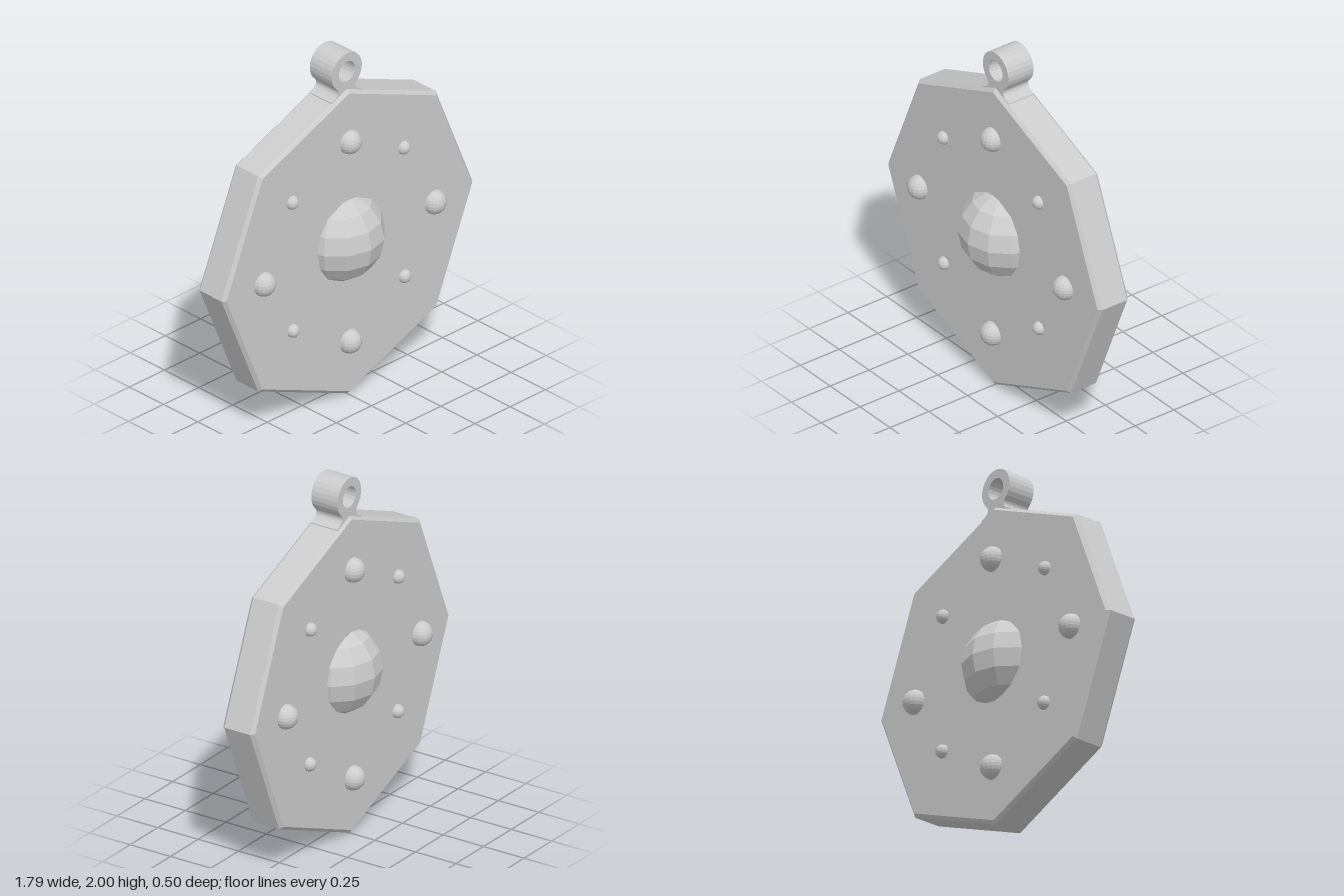
import * as THREE from 'three';

export function createModel() {
  const model = new THREE.Group();
  model.name = 'pendant';
  const mat = new THREE.MeshStandardMaterial({ color: 0xcccccc, flatShading: true });
  const cy = 0.897;

  function add(name, geometry, x, y, z) {
    const mesh = new THREE.Mesh(geometry, mat);
    mesh.name = name;
    mesh.position.set(x, y, z);
    model.add(mesh);
    return mesh;
  }

  // Eight-sided plate with chamfered rims, one corner pointing up
  const plate = new THREE.Shape();
  for (let i = 0; i < 8; i++) {
    const a = (i / 8) * Math.PI * 2;
    const x = 0.893 * Math.cos(a), y = 0.893 * Math.sin(a);
    if (i === 0) plate.moveTo(x, y);
    else plate.lineTo(x, y);
  }
  plate.closePath();
  const bevel = 0.018;
  add('plate', new THREE.ExtrudeGeometry(plate, {
    depth: 0.195 - 2 * bevel, bevelEnabled: true, bevelSegments: 1,
    bevelSize: bevel, bevelOffset: -bevel, bevelThickness: bevel,
  }), 0, cy, -0.107 + bevel);

  // Hanging loop with a flared neck that sinks into the plate
  const ringY = 1.893, ringR = 0.107, neck = 0.9;
  const nx = ringR * Math.cos(neck), ny = ringY - ringR * Math.sin(neck);
  const loop = new THREE.Shape();
  loop.moveTo(-0.11, 1.7);
  loop.lineTo(-0.11, 1.75);
  loop.quadraticCurveTo(-0.045, 1.772, -nx, ny);
  loop.absarc(0, ringY, ringR, Math.PI + neck, -neck, true);
  loop.quadraticCurveTo(0.045, 1.772, 0.11, 1.75);
  loop.lineTo(0.11, 1.7);
  loop.closePath();
  const hole = new THREE.Path();
  hole.absarc(0, ringY, 0.058, 0, Math.PI * 2, false);
  loop.holes.push(hole);
  add('hangingLoop', new THREE.ExtrudeGeometry(loop, {
    depth: 0.162, bevelEnabled: false, curveSegments: 10,
  }), 0, 0, -0.092);

  // Large faceted dome showing on both faces
  add('centreDome', new THREE.SphereGeometry(0.25, 12, 8), 0, 0.916, 0);

  // Studs on both faces: four large on the axes, four small on the diagonals
  const largeStud = new THREE.SphereGeometry(0.066, 16, 12);
  const smallStud = new THREE.SphereGeometry(0.037, 16, 12);
  const large = [[0, 1.49], [0, 0.32], [0.604, cy], [-0.611, cy]];
  const small = [[0.385, 1.302], [-0.409, 1.295], [0.39, 0.546], [-0.403, 0.54]];
  for (const [side, z] of [['front', 0.088], ['back', -0.113]]) {
    large.forEach(([x, y]) => add(side + 'LargeStud', largeStud, x, y, z));
    small.forEach(([x, y]) => add(side + 'SmallStud', smallStud, x, y, z));
  }

  return model;
}
